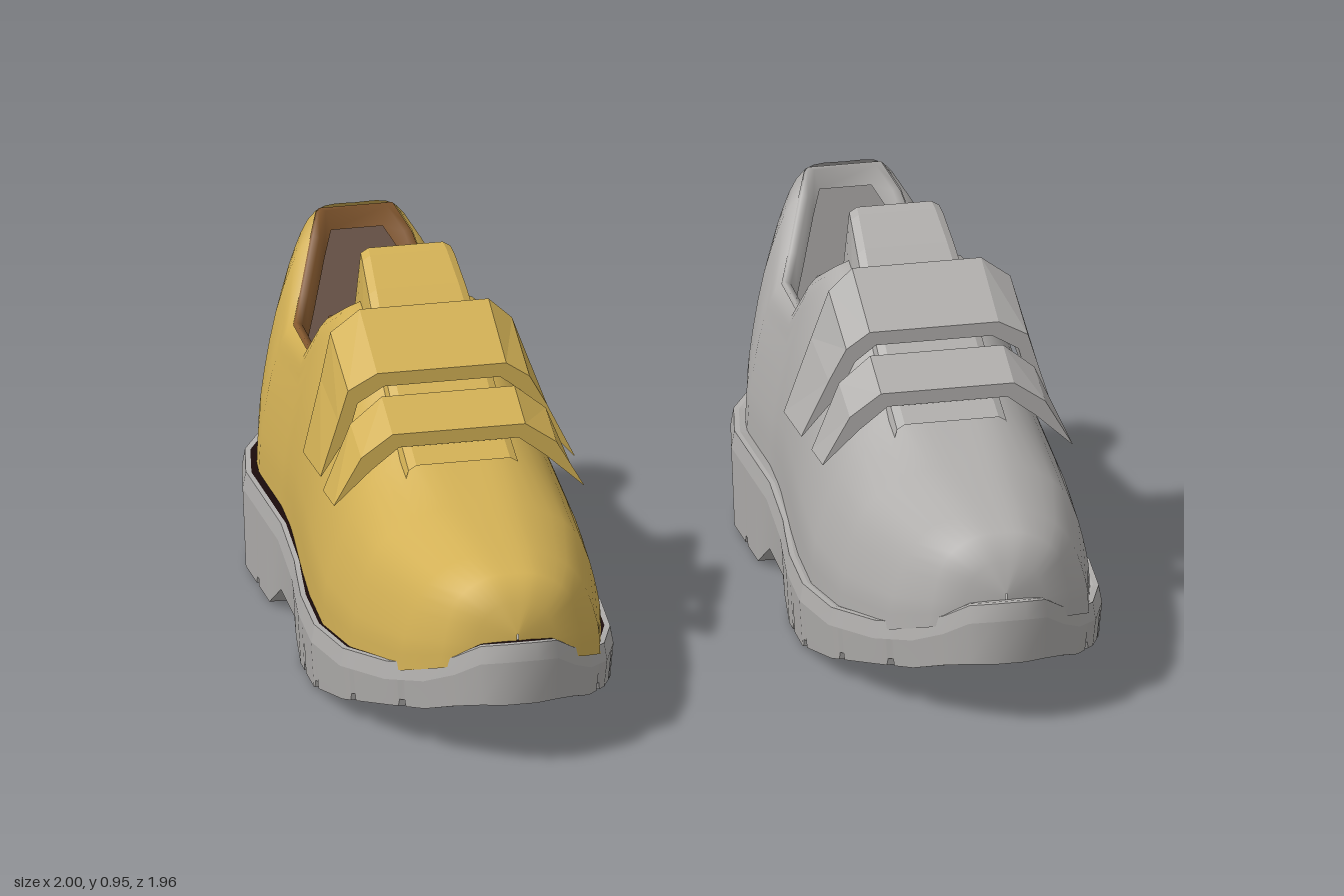
import * as THREE from 'three';

const V = (x, y, z) => new THREE.Vector3(x, y, z);
const paint = (name, color) => {
  const m = new THREE.MeshStandardMaterial({ color, side: THREE.DoubleSide });
  m.name = name;
  return m;
};
const yellow = paint('yellow leather', 0xd2b055);
const grey = paint('plain grey', 0xb0aeac);
const dark = paint('dark welt', 0x1c0c0c);
const brown = paint('brown collar', 0x85592f);
const liningTan = paint('lining', 0x84695c);

// Sole stations, toe to heel: z, half width, bottom y, top y
const SOLE = [
  [0.98, 0.04, 0.17, 0.33], [0.95, 0.10, 0.165, 0.32], [0.9, 0.155, 0.15, 0.28],
  [0.82, 0.215, 0.12, 0.24], [0.7, 0.285, 0.095, 0.21], [0.5, 0.35, 0.045, 0.18],
  [0.3, 0.375, 0.01, 0.175], [0.1, 0.36, 0, 0.18], [-0.03, 0.34, 0.025, 0.195],
  [-0.08, 0.332, 0.06, 0.205], [-0.25, 0.325, 0.07, 0.245], [-0.35, 0.33, 0.003, 0.255],
  [-0.6, 0.33, 0.01, 0.26], [-0.75, 0.295, 0.02, 0.265], [-0.84, 0.23, 0.035, 0.28],
  [-0.93, 0.14, 0.08, 0.3], [-0.98, 0.05, 0.1, 0.315],
];
// Upper stations, toe to heel: z, base, shoulder and top half widths, top y
const UPPER = [
  [0.93, 0.002, 0.002, 0.001, 0.34], [0.91, 0.11, 0.08, 0.04, 0.41], [0.87, 0.18, 0.14, 0.07, 0.47],
  [0.75, 0.255, 0.19, 0.09, 0.49], [0.5, 0.32, 0.25, 0.12, 0.52], [0.3, 0.345, 0.25, 0.13, 0.595],
  [0.1, 0.33, 0.24, 0.14, 0.71], [-0.05, 0.315, 0.235, 0.15, 0.81], [-0.2, 0.3, 0.23, 0.16, 0.82],
  [-0.29, 0.295, 0.235, 0.19, 0.76], [-0.37, 0.29, 0.245, 0.22, 0.65], [-0.6, 0.29, 0.245, 0.2, 0.635],
  [-0.66, 0.28, 0.22, 0.17, 0.69], [-0.71, 0.265, 0.2, 0.13, 0.82], [-0.77, 0.235, 0.17, 0.1, 0.87],
  [-0.84, 0.175, 0.12, 0.075, 0.83], [-0.89, 0.1, 0.055, 0.03, 0.66], [-0.925, 0.002, 0.002, 0.001, 0.37],
];
const FRONT = -0.29, BACK = -0.77; // ends of the foot opening
const GROOVES = [0.75, 0.55, 0.32, 0.17, -0.47, -0.61, -0.78];

// Linear interpolation in a station table
function at(table, z) {
  let i = 0;
  while (i < table.length - 2 && table[i + 1][0] > z) i++;
  const a = table[i], b = table[i + 1];
  const t = THREE.MathUtils.clamp((z - a[0]) / (b[0] - a[0]), 0, 1);
  return a.map((v, k) => v + (b[k] - v) * t);
}

// Skin over rows of points; skip(row, column) leaves holes
function skin(rows, { closed = false, flat = false, skip = () => false } = {}) {
  const n = rows[0].length, index = [];
  for (let r = 0; r < rows.length - 1; r++) {
    for (let c = 0; c < (closed ? n : n - 1); c++) {
      if (skip(r, c)) continue;
      const a = r * n + c, b = r * n + (c + 1) % n;
      index.push(a, b, b + n, a, b + n, a + n);
    }
  }
  let g = new THREE.BufferGeometry().setFromPoints(rows.flat());
  g.setIndex(index);
  if (flat) g = g.toNonIndexed();
  g.computeVertexNormals();
  return g;
}

// Arched cross-section of the upper, shrunk by k and lowered by d
function section(z, k = 1, d = 0) {
  const [, w0, w2, w3, top] = at(UPPER, z);
  const y0 = at(SOLE, z)[3] - 0.02, h = top - d;
  const half = [[w0, 0], [w0 * 0.97, 0.3], [w2, 0.78], [w3, 1]]
    .map(([x, t]) => V(x * k, y0 + (h - y0) * t, z));
  const other = half.map(p => V(-p.x, p.y, z)).reverse();
  const crown = V(0, h + 0.012 * Math.min(1, w3 / 0.1), z);
  return new THREE.CatmullRomCurve3([...half, crown, ...other]).getPoints(32);
}

function soleParts(add, wallMat, rimMat) {
  const cuts = GROOVES.flatMap(g => [-0.012, -0.008, 0.008, 0.012].map(d => g + d));
  const zs = [...SOLE.map(s => s[0]), ...cuts].sort((a, b) => b - a);
  const bottomY = z => at(SOLE, z)[2] + (GROOVES.some(g => Math.abs(z - g) < 0.01) ? 0.018 : 0);
  // Closed outline with an inset and a height rule
  const ring = (inset, height) => {
    const side = s => zs.map(z => V(s * at(SOLE, z)[1] * (1 - inset / 0.375), height(z), z * (1 - inset / 0.98)));
    return [...side(1), ...side(-1).reverse()];
  };
  const top = z => at(SOLE, z)[3];
  const base = ring(0.008, bottomY), line = ring(0, z => top(z) - 0.045);
  const edge = ring(0.008, top), lip = ring(0.022, top), inner = ring(0.07, z => top(z) - 0.012);
  add('soleWall', skin([base, line], { closed: true }), wallMat);
  add('soleBand', skin([line, edge], { closed: true }), wallMat);
  add('soleEdge', skin([edge, lip], { closed: true }), wallMat);
  add('welt', skin([lip, inner], { closed: true }), rimMat);
  const n = zs.length;
  add('tread', skin([base.slice(0, n), base.slice(n).reverse()], { flat: true }), wallMat);
}

function upperParts(add, mat, rimMat, liningMat) {
  // Outer shell with the foot opening left out
  const zs = [...UPPER.map(s => s[0])];
  const open = (r, c) => zs[r] <= FRONT && zs[r + 1] >= BACK && c >= 12 && c < 20;
  add('upper', skin(zs.map(z => section(z)), { skip: open }), mat);

  // Lining inside the shell, with heel wall and insole
  const lz = zs.filter(z => z <= 0.3 && z >= BACK);
  const holes = (r, c) => lz[r] <= FRONT && c >= 12 && c < 20;
  const rows = lz.map(z => section(z, 0.9, 0.025));
  add('lining', skin(rows, { skip: holes }), liningMat);
  const last = rows[rows.length - 1];
  add('heelLining', skin([last.slice(0, 17), last.slice(16).reverse()]), liningMat);
  add('insole', skin([1, -1].map(s => lz.map(z => {
    const u = at(UPPER, z);
    return V(s * u[1] * 0.93, at(SOLE, z)[3] + 0.02, z);
  }))), liningMat);

  // Rolled collar round the opening
  const oz = zs.filter(z => z <= FRONT && z >= BACK);
  const mid = (FRONT + BACK) / 2;
  const loop = (inset, drop) => {
    const side = s => oz.map(z => {
      const u = at(UPPER, z);
      return V(s * (u[3] - inset), u[4] - drop, mid + (z - mid) * (1 - inset * 2));
    });
    return [...side(1), ...side(-1).reverse()];
  };
  add('collar', skin([loop(-0.002, 0.008), loop(0.006, -0.006), loop(0.022, 0), loop(0.034, 0.05)], { closed: true }), rimMat);
}

// Tongue running from the raised tab down under the straps
function tonguePart(add, mat) {
  const path = [[-0.29, 0.79, 0.12], [-0.245, 0.955, 0.115], [-0.215, 0.945, 0.118], [-0.12, 0.89, 0.125],
    [-0.04, 0.835, 0.13], [0.12, 0.735, 0.135], [0.24, 0.655, 0.138], [0.36, 0.595, 0.14]];
  const rows = path.map(([z, y, w]) => {
    const low = Math.min(y, at(UPPER, z)[4]) - 0.03;
    return [V(w + 0.012, low, z), V(w, y - 0.012, z), V(w - 0.02, y, z),
      V(0.02 - w, y, z), V(-w, y - 0.012, z), V(-w - 0.012, low, z)];
  });
  add('tongue', skin(rows, { flat: true }), mat);
}

// Strap over the instep: path of [x, back y, front y], from back z to front z
function strapPart(add, name, mat, s, path, back, front) {
  const rows = path.map(([x, yb, yf], i) => {
    const end = i === 0 || i === path.length - 1;
    const k = end ? 0.995 : 0.9, d = end ? 0 : 0.035;
    const outer = [V(s * x, yb, back), V(s * x, yf, front)];
    return [...outer, V(s * x * k, yf - d, front), V(s * x * k, yb - d, back), outer[0].clone()];
  });
  add(name, skin(rows, { flat: true }), mat);
}

function shoe(name, s, mats) {
  const group = new THREE.Group();
  group.name = name;
  group.position.x = s * 0.625;
  const add = (part, geometry, mat) => {
    const mesh = new THREE.Mesh(geometry, mat);
    mesh.name = part;
    group.add(mesh);
  };
  soleParts(add, grey, mats.welt);
  upperParts(add, mats.upper, mats.collar, mats.lining);
  tonguePart(add, mats.upper);
  strapPart(add, 'upperStrap', mats.upper, s, [
    [-0.335, 0.51, 0.51], [-0.265, 0.7, 0.65], [-0.22, 0.82, 0.73], [-0.16, 0.875, 0.77],
    [0.17, 0.875, 0.77], [0.245, 0.82, 0.73], [0.27, 0.7, 0.65], [0.315, 0.51, 0.51]], -0.03, 0.155);
  strapPart(add, 'lowerStrap', mats.upper, s, [
    [-0.32, 0.49, 0.49], [-0.25, 0.66, 0.61], [-0.17, 0.725, 0.665],
    [0.17, 0.725, 0.665], [0.25, 0.66, 0.61], [0.32, 0.49, 0.49]], 0.2, 0.315);
  return group;
}

export function createModel() {
  const model = new THREE.Group();
  model.name = 'pairOfShoes';
  model.add(
    shoe('rightShoe', -1, { upper: yellow, welt: dark, collar: brown, lining: liningTan }),
    shoe('leftShoe', 1, { upper: grey, welt: grey, collar: grey, lining: grey }),
  );
  return model;
}
